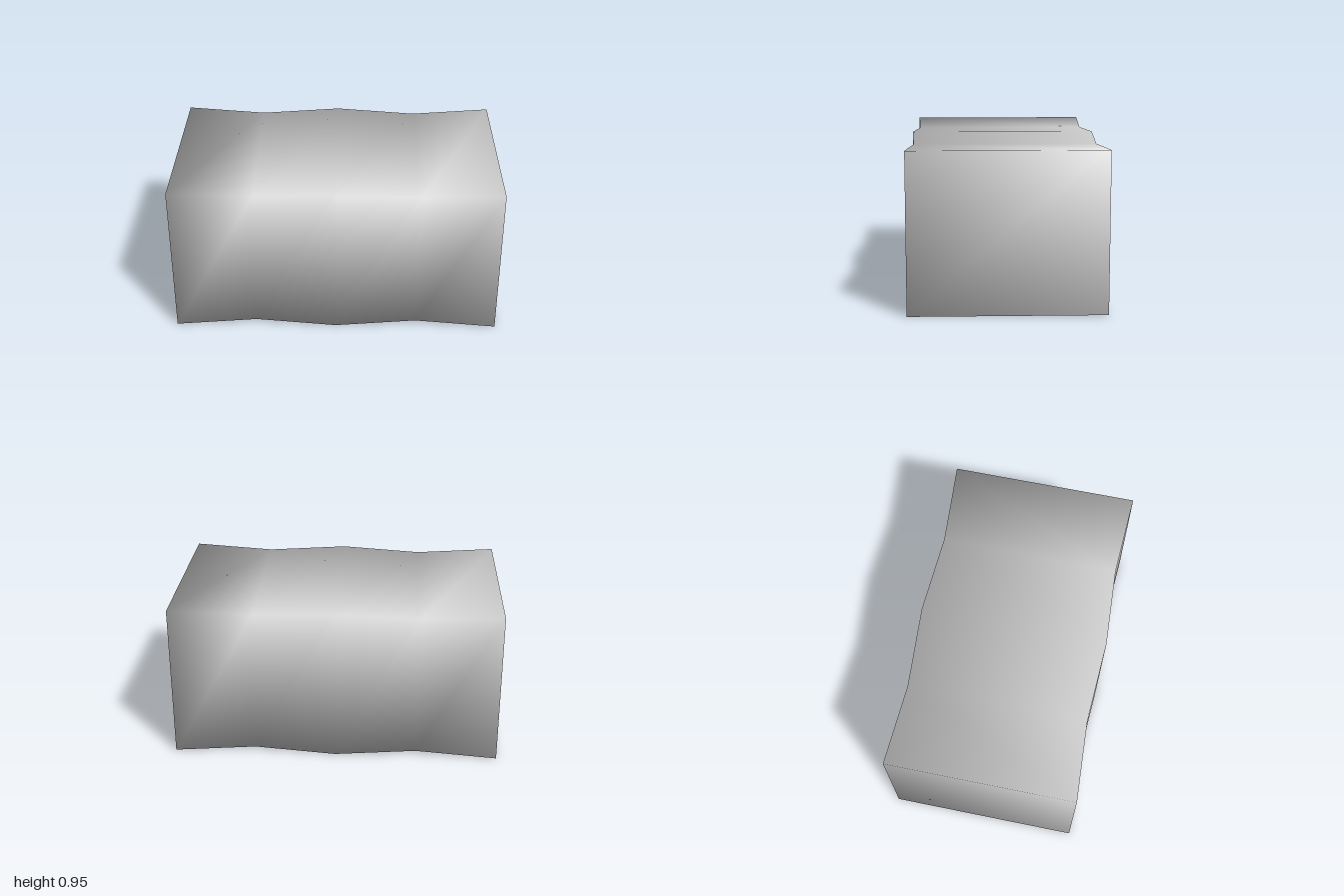
import * as THREE from 'three';
import { mergeVertices } from 'three/addons/utils/BufferGeometryUtils.js';

export function createModel() {
  const group = new THREE.Group();
  const grey = new THREE.MeshStandardMaterial({ color: 0xcccccc });
  grey.name = 'lightGrey';

  // Block in four lengthwise sections
  let geometry = new THREE.BoxGeometry(2, 0.95, 1.155, 4, 1, 1);
  const pos = geometry.attributes.position;
  for (let i = 0; i < pos.count; i++) {
    // Pinch the rings halfway between the ends and the middle
    const pinched = Math.abs(Math.abs(pos.getX(i)) - 0.5) < 0.01;
    const s = pinched ? 0.953 : 1;
    pos.setXYZ(i, pos.getX(i), pos.getY(i) * s + 0.475, pos.getZ(i) * s);
  }

  // Share every corner so the shading is smooth across all edges
  geometry.deleteAttribute('normal');
  geometry.deleteAttribute('uv');
  geometry = mergeVertices(geometry, 1e-4);
  geometry.computeVertexNormals();

  const block = new THREE.Mesh(geometry, grey);
  block.name = 'wavyBlock';
  group.add(block);
  return group;
}
